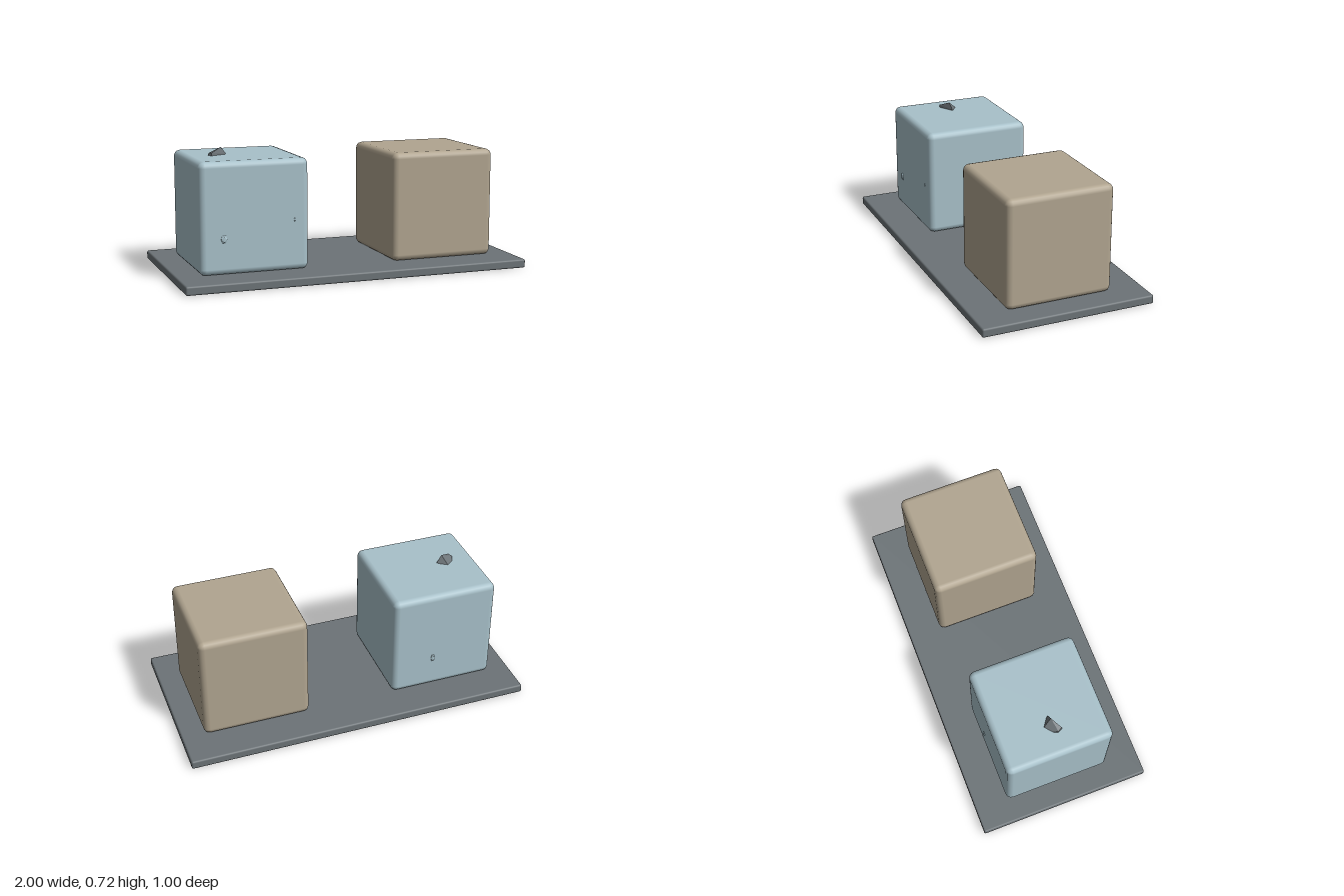
import * as THREE from 'three';
import { RoundedBoxGeometry } from 'three/addons/geometries/RoundedBoxGeometry.js';
import { ConvexGeometry } from 'three/addons/geometries/ConvexGeometry.js';

export function createModel() {
  const model = new THREE.Group();
  const material = (name, color) => {
    const m = new THREE.MeshStandardMaterial({ color });
    m.name = name;
    return m;
  };
  const slate = material('slate grey', 0x6c7377);
  const ice = material('pale blue', 0xa8c1ca);
  const sand = material('sand beige', 0xb1a590);

  const add = (name, geometry, mat, x, y, z) => {
    const mesh = new THREE.Mesh(geometry, mat);
    mesh.name = name;
    mesh.position.set(x, y, z);
    model.add(mesh);
    return mesh;
  };

  // Thin base plate with softened edges
  add('basePlate', new RoundedBoxGeometry(2, 0.05, 1, 2, 0.01), slate, 0, 0.025, 0);

  // Two rounded blocks
  const block = new RoundedBoxGeometry(0.62, 0.624, 0.62, 2, 0.035);
  add('blueBlock', block, ice, -0.563, 0.362, 0);
  add('beigeBlock', block, sand, 0.563, 0.362, 0);

  // Faceted stone tip breaking through the top of the blue block
  const stone = [
    [-0.03, -0.04, -0.075], [0.05, -0.04, 0.008], [-0.06, -0.04, 0.062], [-0.075, -0.04, 0.03],
    [0.042, 0.005, 0.008], [-0.05, 0.015, 0.055], [-0.062, 0.012, 0.03], [0.012, 0.042, 0.015],
  ].map((p) => new THREE.Vector3(...p));
  add('stoneTip', new ConvexGeometry(stone), slate, -0.685, 0.675, 0);

  // Small faceted bumps on the front and back faces of the blue block
  const bump = new THREE.IcosahedronGeometry(1, 0);
  for (const [x, y, side, width, height, depth] of [
    [-0.74, 0.25, 1, 0.02, 0.024, 0.01],
    [-0.335, 0.335, 1, 0.008, 0.012, 0.004],
    [-0.5, 0.245, -1, 0.014, 0.025, 0.01],
  ]) {
    add('bump', bump, ice, x, y, side * 0.31).scale.set(width, height, depth);
  }
  return model;
}
